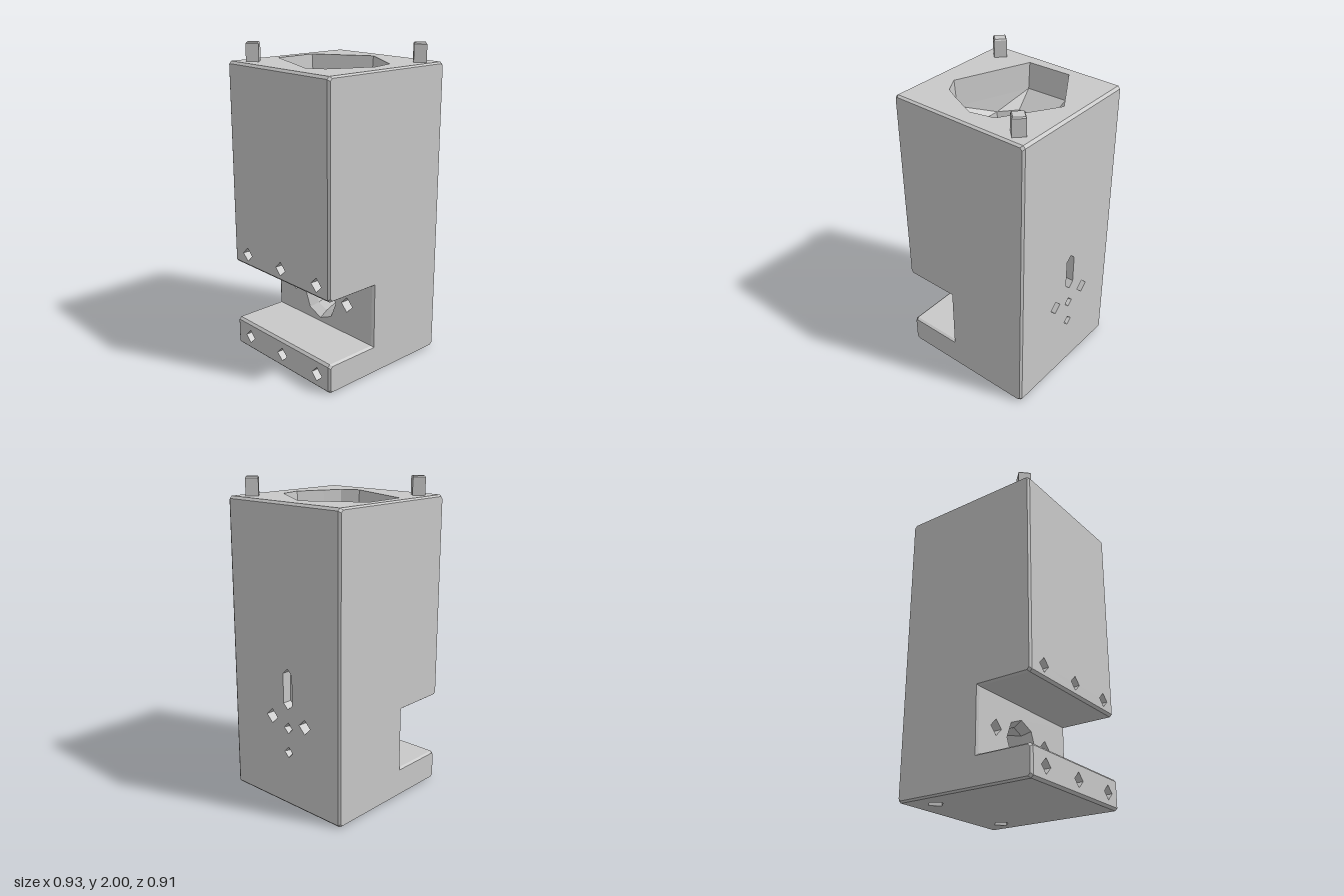
import * as THREE from 'three';

const V = (x, y, z) => new THREE.Vector3(x, y, z);
const HALF_Z = 0.455, BEVEL = 0.015;
const grey = new THREE.MeshStandardMaterial({ color: 0xc8c8c8, flatShading: true, side: THREE.DoubleSide });
grey.name = 'light grey';

// Flat-shaded geometry joining successive loops, optionally closing the last one
function loft(loops, closed) {
  const pts = [];
  for (let k = 0; k + 1 < loops.length; k++) {
    const a = loops[k], b = loops[k + 1], n = a.length;
    for (let i = 0; i < n; i++) {
      const j = (i + 1) % n;
      pts.push(a[i], a[j], b[j], a[i], b[j], b[i]);
    }
  }
  if (closed) {
    const c = loops[loops.length - 1];
    for (let i = 1; i + 1 < c.length; i++) pts.push(c[0], c[i], c[i + 1]);
  }
  const g = new THREE.BufferGeometry().setFromPoints(pts);
  g.computeVertexNormals();
  return g;
}

// Regular polygon in a plane across the x or y axis
function ngon(axis, x, y, z, r, sides) {
  return Array.from({ length: sides }, (_, i) => {
    const a = (i / sides) * Math.PI * 2, c = r * Math.cos(a), s = r * Math.sin(a);
    return axis === 'x' ? V(x, y + c, z + s) : V(x + c, y, z + s);
  });
}

// Side profile with a notch, inset by d
function outline(d) {
  const x0 = -0.465 + d, x1 = 0.465 - d, y0 = d, y1 = 1.885 - d;
  const xn = -0.105 + d, top = 0.59 + d, low = 0.19 - d, c = BEVEL;
  return [
    [x0 + c, y0], [x1 - c, y0], [x1, y0 + c], [x1, y1 - c], [x1 - c, y1], [x0 + c, y1], [x0, y1 - c],
    [x0, top + c], [x0 + c, top], [xn, top], [xn, low], [x0 + c, low], [x0, low - c], [x0, y0 + c],
  ];
}

export function createModel() {
  const model = new THREE.Group();
  const add = (name, geometry) => {
    const mesh = new THREE.Mesh(geometry, grey);
    mesh.name = name;
    model.add(mesh);
    return mesh;
  };
  const profile = outline(0), inset = outline(0.01);
  const loopAt = (points, z) => points.map(([x, y]) => V(x, y, z));
  const zIn = HALF_Z - BEVEL;

  // Front and back faces with their bevels
  const face = new THREE.Shape(inset.map(([x, y]) => new THREE.Vector2(x, y)));
  add('frontFace', new THREE.ShapeGeometry(face)).position.z = HALF_Z;
  const mirrored = new THREE.Shape(inset.map(([x, y]) => new THREE.Vector2(-x, y)));
  const back = add('backFace', new THREE.ShapeGeometry(mirrored));
  back.rotation.y = Math.PI;
  back.position.z = -HALF_Z;
  add('frontBevel', loft([loopAt(profile, zIn), loopAt(inset, HALF_Z)]));
  add('backBevel', loft([loopAt(inset, -HALF_Z), loopAt(profile, -zIn)]));

  // Funnel in the top: rim, upper wall, slope, inner wall, sloping floor and drain
  const rim = [[-0.14, -0.37], [-0.33, 0.105], [-0.27, 0.21], [-0.165, 0.265],
    [0, 0.34], [0.15, 0.305], [0.36, -0.035], [0.145, -0.38]];
  const bowl = [[-0.12, -0.245], [-0.21, -0.14], [-0.21, 0.085], [-0.12, 0.17],
    [0, 0.205], [0.15, 0.15], [0.21, -0.035], [0.1, -0.25]];
  const flat = (points, y, s = 1) => points.map(([x, z]) => V(x * s, y, z * s));
  const drain = (y, r) => bowl.map(([x, z]) => {
    const a = Math.atan2(z + 0.03, x);
    return V(0.16 + r * Math.cos(a), y, -0.03 + r * Math.sin(a));
  });
  const funnel = [flat(rim, 1.885), flat(rim, 1.72, 0.96), flat(bowl, 1.62),
    flat(bowl, 1.42, 0.97), drain(1.36, 0.075), drain(0.9, 0.055)];

  // Openings per profile edge, each a list of loops going inward
  const diamond = (axis, x, y, z, r) => [ngon(axis, x, y, z, r, 4)];
  const R = 0.465, z0 = -0.03;
  const slot = [[0.9, 0], [0.865, 0.037], [0.675, 0.037], [0.64, 0], [0.675, -0.037], [0.865, -0.037]]
    .map(([y, z]) => V(R, y, z0 + z));
  const tapered = (y) => [ngon('x', R, y, z0, 0.035, 4), ngon('x', R - 0.05, y, z0, 0.012, 4)];
  const row = (y) => [-0.32, 0.01, 0.34].map((z) => diamond('x', -R, y, z, 0.045));
  const holes = {
    0: [-0.31, 0.32].map((z) => diamond('y', 0.3, 0, z, 0.055)),
    2: [[slot], diamond('x', R, 0.565, 0.11, 0.047), diamond('x', R, 0.565, -0.17, 0.047),
      tapered(0.52), tapered(0.36)],
    4: [funnel],
    6: row(0.67),
    9: [[ngon('x', -0.105, 0.36, z0, 0.145, 8), ngon('x', -0.05, 0.36, z0, 0.11, 8),
      ngon('x', 0.15, 0.42, z0, 0.09, 8)],
    diamond('x', -0.105, 0.39, -0.28, 0.05), diamond('x', -0.105, 0.39, 0.22, 0.05)],
    12: row(0.09),
  };
  const names = { 0: 'base', 2: 'leftSide', 4: 'topPlate', 6: 'rightSideUpper', 8: 'notchCeiling',
    9: 'notchWall', 10: 'notchFloor', 12: 'rightSideLower' };

  // One panel per profile edge, pierced by its recesses
  profile.forEach(([px, py], i) => {
    const [qx, qy] = profile[(i + 1) % profile.length];
    const p = V(px, py, 0), e = V(qx - px, qy - py, 0), len = e.length();
    e.normalize();
    const n = V(e.y, -e.x, 0);
    const panel = new THREE.Shape([[0, -zIn], [len, -zIn], [len, zIn], [0, zIn]]
      .map(([u, v]) => new THREE.Vector2(u, v)));
    const name = names[i] || 'edgeBevel';
    (holes[i] || []).forEach((loops) => {
      const local = (loop) => loop.map((w) => new THREE.Vector2(w.clone().sub(p).dot(e), w.z));
      if (THREE.ShapeUtils.area(local(loops[0])) < 0) loops.forEach((l) => l.reverse());
      panel.holes.push(new THREE.Path(local(loops[0])));
      if (loops.length === 1) loops.push(loops[0].map((w) => w.clone().addScaledVector(n, -0.06)));
      add(loops === funnel ? 'funnel' : name + 'Recess', loft(loops, true));
    });
    const g = new THREE.ShapeGeometry(panel);
    g.applyMatrix4(new THREE.Matrix4().makeBasis(e, V(0, 0, 1), n).setPosition(p));
    add(name, g);
  });

  // Locating pins on opposite corners, with a small bevel at the tip
  for (const [x, z] of [[-0.355, -0.345], [0.355, 0.36]]) {
    const pin = new THREE.LatheGeometry([[0.055, 1.86], [0.055, 1.992], [0.047, 2], [0, 2]]
      .map(([r, y]) => new THREE.Vector2(r, y)), 4);
    add('pin', pin).position.set(x, 0, z);
  }
  return model;
}
